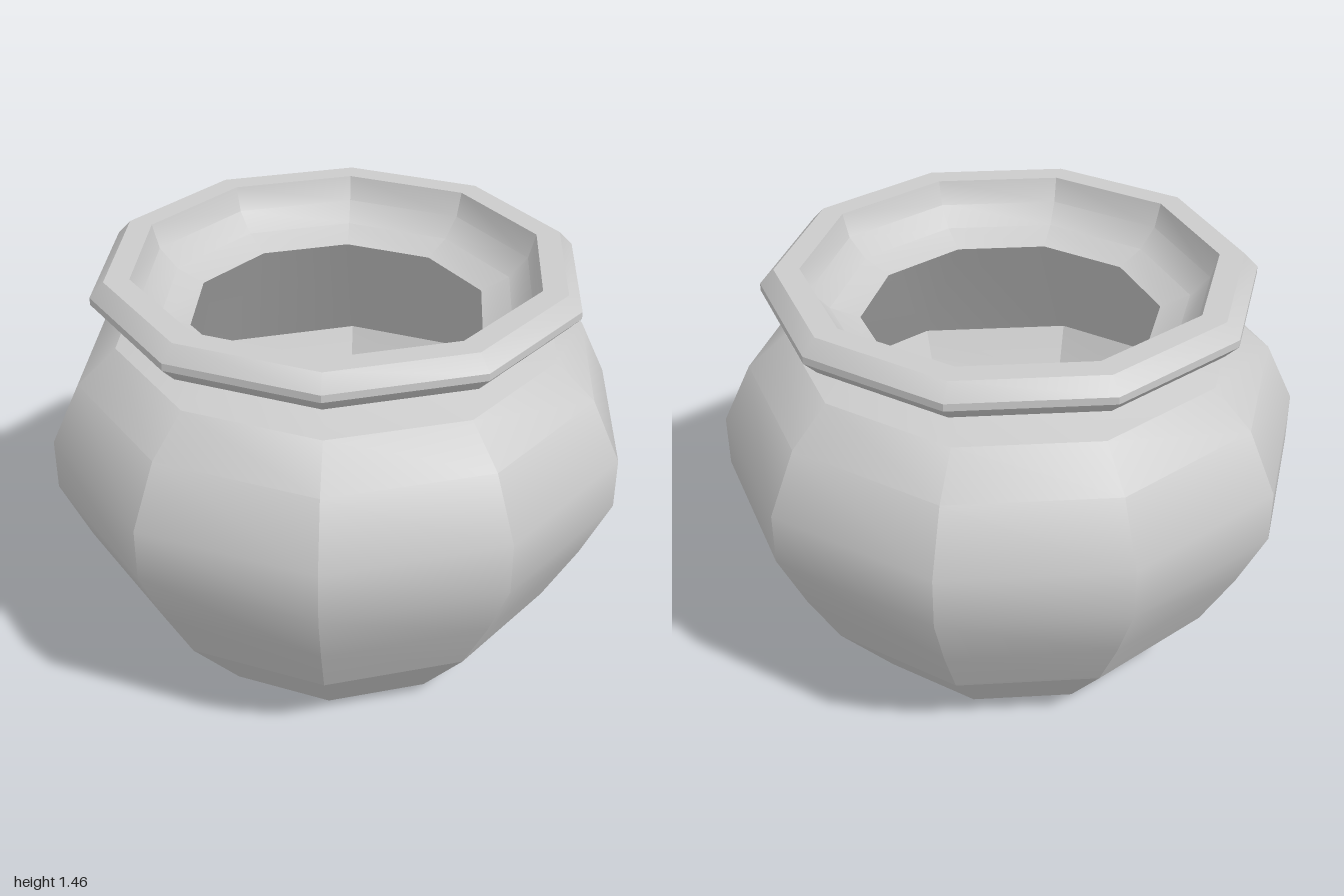
import * as THREE from 'three';
import { toCreasedNormals } from 'three/addons/utils/BufferGeometryUtils.js';

const SIDES = 10;
const material = new THREE.MeshStandardMaterial({ color: 0xcccccc, side: THREE.DoubleSide });

// Ten-sided ring swept from a [radius, height] profile, with corners on the x axis
function turned(name, creaseDegrees, profile) {
  const points = profile.map(([r, y]) => new THREE.Vector2(r, y));
  const lathe = new THREE.LatheGeometry(points, SIDES, Math.PI / 2);
  const crease = THREE.MathUtils.degToRad(creaseDegrees);
  const mesh = new THREE.Mesh(toCreasedNormals(lathe, crease), material);
  mesh.name = name;
  return mesh;
}

export function createModel() {
  const pot = new THREE.Group();
  pot.name = 'pot';

  // Tapered foot with a sharp edge where it meets the belly
  pot.add(turned('foot', 26, [[0.565, 0], [0.78, 0.26]]));

  // Rounded belly up to the neck
  pot.add(turned('belly', 26, [
    [0.78, 0.26], [0.9, 0.48], [1, 0.7], [1, 0.88],
    [0.9, 1.09], [0.765, 1.21], [0.6, 1.245],
  ]));

  // Flared rim: neck, outer lip, flat top, then down the inside of the mouth
  pot.add(turned('rim', 30, [
    [0.6, 1.245], [0.6, 1.265], [0.785, 1.33], [0.833, 1.38], [0.833, 1.405],
    [0.785, 1.455], [0.7, 1.455], [0.675, 1.37], [0.61, 1.305], [0.51, 1.265],
  ]));

  // Inner wall, from the neck down to the open bottom
  pot.add(turned('shoulderLining', 31, [[0.51, 1.265], [0.9, 0.72]]));
  pot.add(turned('bellyLining', 26, [[0.9, 0.72], [0.81, 0.51], [0.69, 0.3]]));
  pot.add(turned('footLining', 26, [[0.69, 0.3], [0.465, 0.03]]));

  return pot;
}
